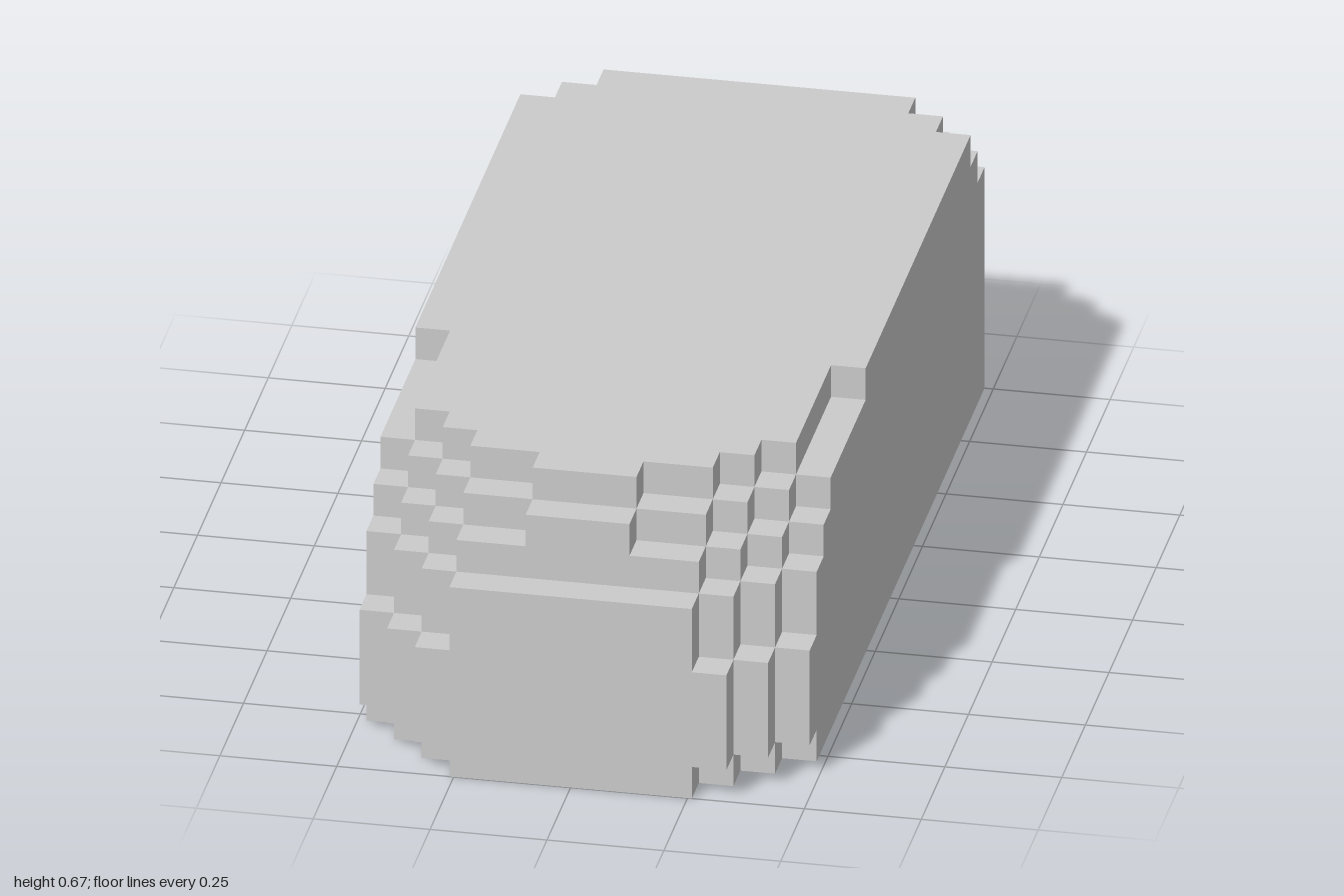
import * as THREE from 'three';

const U = 2 / 27; // edge of one block

// Each layer: bottom and top in blocks, then [half-width, front z] steps from
// the nose backwards, and [half-width, back z] steps from the body to the tail.
const LAYERS = [
  { name: 'baseLayer', y: [0, 1], front: [[3.5, 13.5], [4.5, 12.5], [5.5, 11.5], [6.5, 10.5]], back: [[6.5, -13.5]] },
  { name: 'lowerBody', y: [1, 4], front: [[4.5, 13.5], [5.5, 12.5], [6.5, 11.5]], back: [[6.5, -13.5]] },
  { name: 'middleBody', y: [4, 6], front: [[3.5, 13.5], [4.5, 12.5], [5.5, 11.5], [6.5, 10.5]], back: [[6.5, -13.5]] },
  { name: 'upperBody', y: [6, 7], front: [[3.5, 12.5], [4.5, 11.5], [5.5, 10.5], [6.5, 9.5]], back: [[6.5, -13.5]] },
  { name: 'shoulderLayer', y: [7, 8], front: [[1.5, 12.5], [3.5, 11.5], [4.5, 10.5], [5.5, 9.5], [6.5, 8.5]], back: [[6.5, -12.5], [5.5, -13.5]] },
  { name: 'topLayer', y: [8, 9], front: [[1.5, 11.5], [3.5, 10.5], [4.5, 9.5], [5.5, 8.5], [6.5, 3.5]], back: [[6.5, -11.5], [5.5, -12.5], [4.5, -13.5]] },
];

// Stepped outline of one layer, mirrored across x = 0
function footprint({ front, back }) {
  const side = [];
  front.forEach(([w, z], i) => {
    if (i > 0) side.push([front[i - 1][0], z]);
    side.push([w, z]);
  });
  back.forEach(([w, z], i) => {
    if (i > 0) side.push([w, back[i - 1][1]]);
    side.push([w, z]);
  });
  const mirrored = side.map(([x, z]) => [-x, z]).reverse();
  return new THREE.Shape([...side, ...mirrored].map(([x, z]) => new THREE.Vector2(x * U, -z * U)));
}

export function createModel() {
  const model = new THREE.Group();
  model.name = 'blockBody';
  const material = new THREE.MeshStandardMaterial({ color: 0xcccccc, flatShading: true });

  // Stack the layers upwards
  for (const layer of LAYERS) {
    const [bottom, top] = layer.y;
    const geometry = new THREE.ExtrudeGeometry(footprint(layer), { depth: (top - bottom) * U, bevelEnabled: false });
    geometry.rotateX(-Math.PI / 2);
    const mesh = new THREE.Mesh(geometry, material);
    mesh.name = layer.name;
    mesh.position.y = bottom * U;
    model.add(mesh);
  }
  return model;
}
